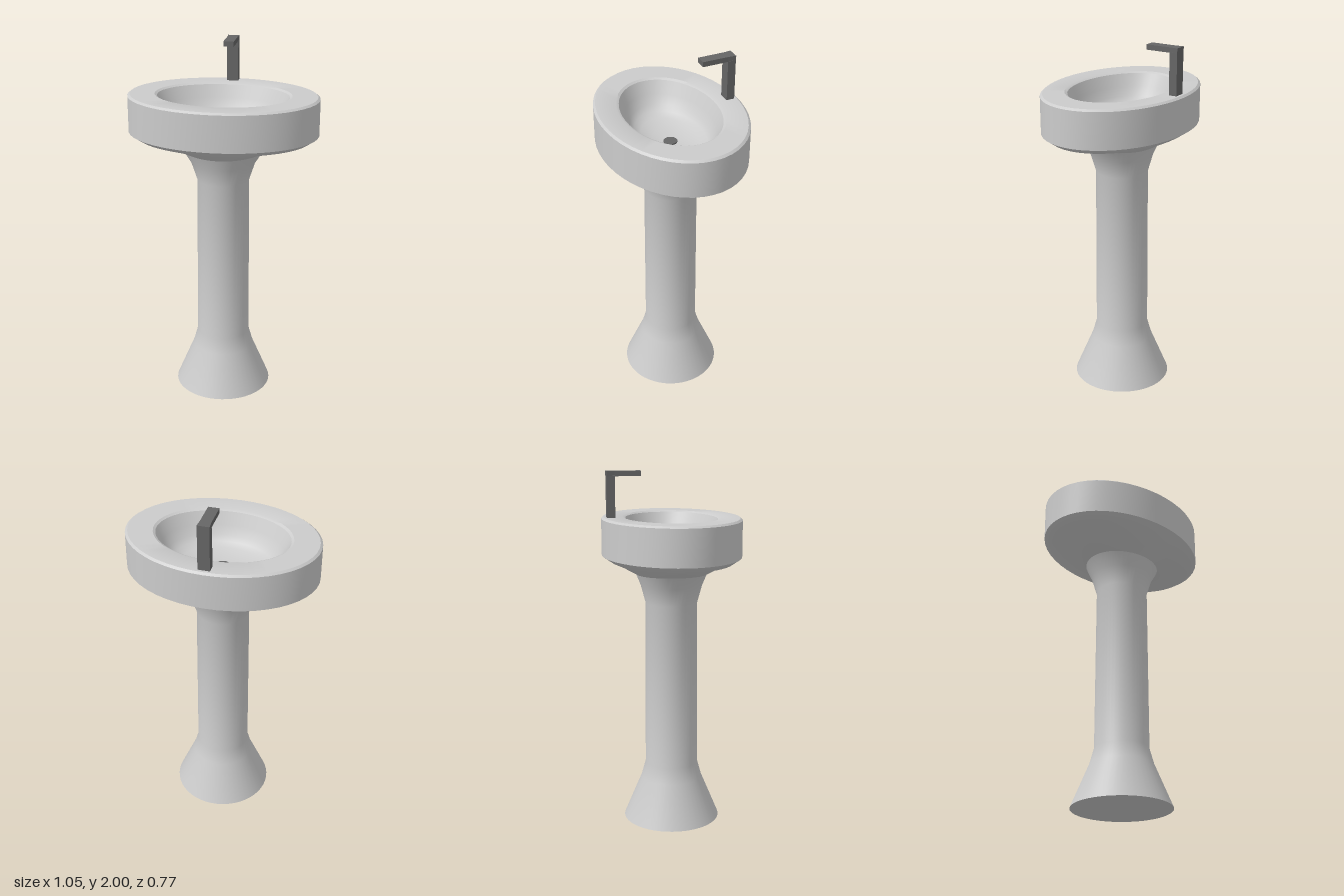
import * as THREE from 'three';
import { toCreasedNormals } from 'three/addons/utils/BufferGeometryUtils.js';

const SEGMENTS = 48;

// Skins a stack of elliptical rings [radiusX, radiusZ, y]; radius 0 closes an end
function loft(rings, crease = 0.5) {
  const positions = [], index = [];
  for (const [rx, rz, y] of rings) {
    for (let i = 0; i < SEGMENTS; i++) {
      const a = (i / SEGMENTS) * Math.PI * 2;
      positions.push(rx * Math.cos(a), y, rz * Math.sin(a));
    }
  }
  for (let r = 0; r < rings.length - 1; r++) {
    for (let i = 0; i < SEGMENTS; i++) {
      const j = (i + 1) % SEGMENTS;
      const a = r * SEGMENTS + i, b = r * SEGMENTS + j;
      const c = a + SEGMENTS, d = b + SEGMENTS;
      if (rings[r][0] > 0) index.push(a, c, b);
      if (rings[r + 1][0] > 0) index.push(b, c, d);
    }
  }
  const geometry = new THREE.BufferGeometry();
  geometry.setAttribute('position', new THREE.Float32BufferAttribute(positions, 3));
  geometry.setIndex(index);
  return toCreasedNormals(geometry, crease);
}

export function createModel() {
  const model = new THREE.Group();
  model.name = 'pedestalSink';
  const ceramic = new THREE.MeshStandardMaterial({ color: 0xcccccc });
  const metal = new THREE.MeshStandardMaterial({ color: 0x666666 });

  function add(name, geometry, material, parent = model) {
    const mesh = new THREE.Mesh(geometry, material);
    mesh.name = name;
    parent.add(mesh);
    return mesh;
  }

  // Pedestal: flared foot, straight column, flared neck
  add('pedestal', loft([
    [0, 0, 0], [0.275, 0.275, 0], [0.175, 0.175, 0.24], [0.15, 0.15, 0.33],
    [0.145, 0.145, 1.27], [0.178, 0.172, 1.37], [0.222, 0.2, 1.44], [0, 0, 1.44],
  ]), ceramic);

  // Basin: underside, outer wall, bevelled rim, then down into the bowl
  add('basin', loft([
    [0, 0, 1.43], [0.2, 0.19, 1.43], [0.31, 0.28, 1.48], [0.48, 0.34, 1.51],
    [0.525, 0.385, 1.54], [0.525, 0.385, 1.74], [0.512, 0.373, 1.75],
    [0.375, 0.268, 1.75], [0.362, 0.252, 1.742],
    [0.325, 0.222, 1.675], [0.295, 0.2, 1.625], [0.265, 0.178, 1.597],
    [0.22, 0.145, 1.578], [0.13, 0.09, 1.562], [0.037, 0.037, 1.555], [0, 0, 1.555],
  ]), ceramic);

  // Drain
  const drain = add('drain', new THREE.CylinderGeometry(0.037, 0.037, 0.012, 24), metal);
  drain.position.y = 1.556;

  // Faucet: upright post and a spout reaching over the bowl
  const faucet = new THREE.Group();
  faucet.name = 'faucet';
  model.add(faucet);
  const post = add('faucetPost', new THREE.BoxGeometry(0.064, 0.23, 0.045), metal, faucet);
  post.position.set(0, 1.86, -0.335);
  const spoutShape = new THREE.Shape([
    [-0.033, 0.358], [0.033, 0.358], [0.029, 0.313], [0.029, 0.17], [-0.029, 0.17], [-0.029, 0.313],
  ].map(([x, y]) => new THREE.Vector2(x, y)));
  const spout = add('faucetSpout',
    new THREE.ExtrudeGeometry(spoutShape, { depth: 0.028, bevelEnabled: false }), metal, faucet);
  spout.rotation.x = -Math.PI / 2;
  spout.position.y = 1.972;

  return model;
}
